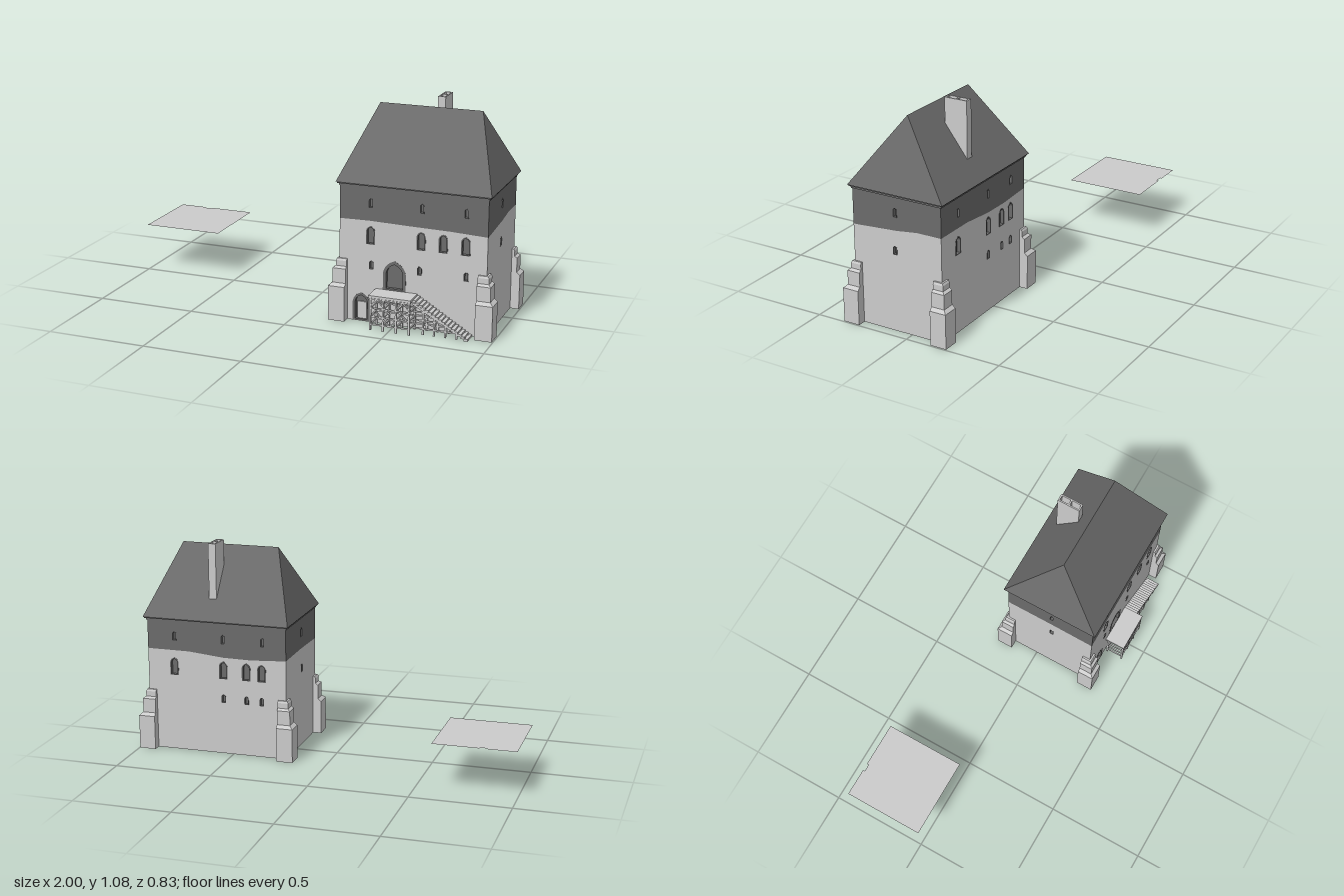
import * as THREE from 'three';
import { ConvexGeometry } from 'three/addons/geometries/ConvexGeometry.js';

const CX = 0.583, CZ = 0.07, W = 0.738, D = 0.483; // tower plan
const T = 0.018, TOP = 0.685;                      // wall thickness and height

export function createModel() {
  const root = new THREE.Group();
  const light = new THREE.MeshStandardMaterial({ color: 0xcccccc, flatShading: true });
  const dark = new THREE.MeshStandardMaterial({ color: 0x6b6b6b, flatShading: true });
  const sheet = new THREE.MeshStandardMaterial({ color: 0xcccccc, side: THREE.DoubleSide });

  const add = (parent, name, geo, mat) => {
    const m = new THREE.Mesh(geo, mat);
    m.name = name;
    parent.add(m);
    return m;
  };
  const box = (parent, name, mat, x0, x1, y0, y1, z0, z1) => {
    const m = add(parent, name, new THREE.BoxGeometry(x1 - x0, y1 - y0, z1 - z0), mat);
    m.position.set((x0 + x1) / 2, (y0 + y1) / 2, (z0 + z1) / 2);
    return m;
  };
  const group = (name) => {
    const g = new THREE.Group();
    g.name = name;
    root.add(g);
    return g;
  };
  const extrude = (shape, depth) =>
    new THREE.ExtrudeGeometry(shape, { depth, bevelEnabled: false, curveSegments: 5 });

  // Pointed arch outline standing on y0
  const arch = (C, u, y0, w, h) => {
    const p = new C(), r = w / 2, s = y0 + h - w * 0.55;
    p.moveTo(u - r, y0);
    p.lineTo(u + r, y0);
    p.lineTo(u + r, s);
    p.quadraticCurveTo(u + r * 0.85, y0 + h - w * 0.15, u, y0 + h);
    p.quadraticCurveTo(u - r * 0.85, y0 + h - w * 0.15, u - r, s);
    p.lineTo(u - r, y0);
    return p;
  };

  // One wall: light masonry below an uneven seam, dark masonry above, framed openings
  function wall(name, angle, dist, width, seam, openings) {
    const g = group(name);
    g.position.set(CX, 0, CZ);
    g.rotation.y = angle;
    const h = width / 2;
    const line = seam.map(([f, y]) => new THREE.Vector2(f * h, y));
    const lower = new THREE.Shape([new THREE.Vector2(-h, 0), new THREE.Vector2(h, 0), ...line.slice().reverse()]);
    const upper = new THREE.Shape([...line, new THREE.Vector2(h, TOP), new THREE.Vector2(-h, TOP)]);
    for (const [u, y, w, ht] of openings) {
      (y > 0.53 ? upper : lower).holes.push(arch(THREE.Path, u, y, w, ht));
      const b = w * 0.14;
      const frame = arch(THREE.Shape, u, y, w, ht);
      frame.holes.push(arch(THREE.Path, u, y + b * 0.5, w - 2 * b, ht - b * 1.6));
      add(g, 'openingFrame', extrude(frame, T), dark).position.z = dist - T + 0.001;
    }
    add(g, 'lowerWall', extrude(lower, T), light).position.z = dist - T;
    add(g, 'upperWall', extrude(upper, T), dark).position.z = dist - T;
  }

  const slit = (u) => [u, 0.578, 0.022, 0.047];
  const tall = (u) => [u, 0.395, 0.046, 0.092];
  const low = (u) => [u, 0.27, 0.024, 0.045];
  wall('frontWall', 0, D / 2, W,
    [[-1, 0.51], [-0.6, 0.513], [0, 0.508], [0.5, 0.505], [1, 0.497]],
    [...[-0.211, 0.045, 0.262].map(slit), ...[-0.211, 0.043, 0.152, 0.262].map(tall),
      ...[-0.206, 0.037, 0.267].map(low),
      [-0.088, 0.176, 0.116, 0.149], [-0.256, 0.003, 0.088, 0.143]]);
  wall('backWall', Math.PI, D / 2, W,
    [[-1, 0.526], [-0.4, 0.525], [0.1, 0.507], [0.5, 0.505], [1, 0.515]],
    [...[-0.225, 0.036, 0.245].map(slit), ...[-0.228, 0.036, 0.158, 0.24].map(tall),
      ...[0.036, 0.158, 0.24].map(low)]);
  wall('leftWall', Math.PI / 2, W / 2, D - 2 * T,
    [[-1, 0.497], [0, 0.512], [0.5, 0.526], [1, 0.526]],
    [slit(-0.008), [-0.012, 0.39, 0.024, 0.045]]);
  wall('rightWall', -Math.PI / 2, W / 2, D - 2 * T,
    [[-1, 0.515], [0, 0.516], [1, 0.51]],
    [slit(0.008), [0.012, 0.39, 0.024, 0.045]]);

  // Dark core seen through the openings, and the small door leaf
  box(root, 'core', dark, CX - W / 2 + T, CX + W / 2 - T, 0, TOP, CZ - D / 2 + T, CZ + D / 2 - T);
  box(root, 'doorLeaf', light, 0.303, 0.35, 0.006, 0.095, 0.29, 0.3);

  // Cornice and hipped roof
  box(root, 'corniceLower', dark, 0.21, 0.957, 0.676, 0.686, -0.177, 0.316);
  box(root, 'corniceUpper', dark, 0.204, 0.963, 0.686, 0.694, -0.184, 0.323);
  const roof = [[0.329, 1.038, 0.07], [0.842, 1.038, 0.07]];
  for (const x of [0.198, 0.969]) for (const z of [-0.19, 0.328]) roof.push([x, 0.693, z]);
  add(root, 'roof', new ConvexGeometry(roof.map((p) => new THREE.Vector3(...p))), dark);

  // Chimney with two open flues
  const rect = (C, x0, x1, y0, y1) =>
    new C([[x0, y0], [x1, y0], [x1, y1], [x0, y1]].map((p) => new THREE.Vector2(...p)));
  const stack = rect(THREE.Shape, 0.597, 0.636, -0.004, 0.115);
  stack.holes.push(rect(THREE.Path, 0.604, 0.629, 0.004, 0.052), rect(THREE.Path, 0.604, 0.629, 0.06, 0.107));
  const chimney = add(root, 'chimney', extrude(stack, 0.3), light);
  chimney.rotation.x = -Math.PI / 2;
  chimney.position.y = 0.775;

  // Stepped corner buttresses: [reach beyond the wall, bottom, shoulder, tapered top, reach at top]
  const stages = [
    [0.044, 0, 0.175, 0.19, 0.027],
    [0.027, 0.19, 0.263, 0.273, 0.014],
    [0.014, 0.273, 0.3, 0.31, 0.009],
  ];
  for (const sx of [-1, 1]) for (const sz of [-1, 1]) {
    const g = group('cornerButtress');
    for (const [r, y0, y1, y2, r2] of stages) {
      const pts = [];
      for (const [reach, y] of [[r, y0], [r, y1], [r2, y2]])
        for (const a of [-0.041, reach]) for (const b of [-0.041, reach])
          pts.push(new THREE.Vector3(CX + sx * (W / 2 + a), y, CZ + sz * (D / 2 + b)));
      add(g, 'buttressStage', new ConvexGeometry(pts), light);
    }
  }

  // Timber landing and stair on a braced frame
  const porch = group('timberStair');
  const beam = (name, a, b, s = 0.009) => {
    const p = new THREE.Vector3(...a), q = new THREE.Vector3(...b), d = q.clone().sub(p);
    const m = add(porch, name, new THREE.BoxGeometry(s, d.length(), s), light);
    m.position.copy(p).add(q).multiplyScalar(0.5);
    m.quaternion.setFromUnitVectors(new THREE.Vector3(0, 1, 0), d.normalize());
  };
  box(porch, 'landing', light, 0.401, 0.613, 0.164, 0.176, 0.305, 0.418);
  const rails = [0.03, 0.07, 0.112, 0.158], posts = [0.41, 0.475, 0.54, 0.605];
  for (const z of [0.411, 0.325]) {
    for (const x of posts) beam('post', [x, 0, z], [x, 0.165, z]);
    for (const y of rails) beam('rail', [0.405, y, z], [0.61, y, z], 0.007);
  }
  for (const x of posts) for (const y of rails) beam('crossRail', [x, y, 0.32], [x, y, 0.411], 0.007);
  for (let i = 0; i < 3; i++) {
    const x0 = posts[i], x1 = posts[i + 1];
    for (const [y0, y1] of [[0.03, 0.092], [0.092, 0.158]])
      for (const [a, b] of [[x0, x1], [x1, x0]])
        beam('brace', [a, y0 + 0.031, 0.411], [(a + b) / 2, i === 1 ? y0 : y1, 0.411], 0.006);
  }

  const steps = 17, x0 = 0.61, x1 = 0.885, run = (x1 - x0) / steps;
  for (let i = 0; i < steps; i++) {
    const y = 0.168 * (1 - i / steps);
    box(porch, 'tread', light, x0 + i * run, x0 + (i + 1) * run + 0.002, y - 0.011, y, 0.311, 0.385);
  }
  const slope = (x) => 0.16 * (x1 - x) / (x1 - x0);
  for (const z of [0.378, 0.32]) {
    beam('stringer', [x0, 0.152, z], [x1 - 0.008, 0.006, z], 0.01);
    for (const x of [0.665, 0.72, 0.775, 0.83]) beam('stairPost', [x, 0, z], [x, slope(x) - 0.006, z]);
    for (const y of rails.slice(0, 3))
      beam('stairRail', [x0, y, z], [x1 - (y + 0.006) / 0.16 * (x1 - x0), y, z], 0.007);
  }

  // Separate flat slab with a small notch in its rear edge
  const slab = new THREE.Shape([[-1, 0], [-0.588, 0], [-0.588, 0.412], [-0.82, 0.412], [-0.82, 0.402],
    [-0.857, 0.402], [-0.857, 0.412], [-1, 0.412]].map((p) => new THREE.Vector2(...p)));
  const panel = add(root, 'flatPanel', new THREE.ShapeGeometry(slab), sheet);
  panel.rotation.x = -Math.PI / 2;
  panel.position.y = 0.245;

  return root;
}
